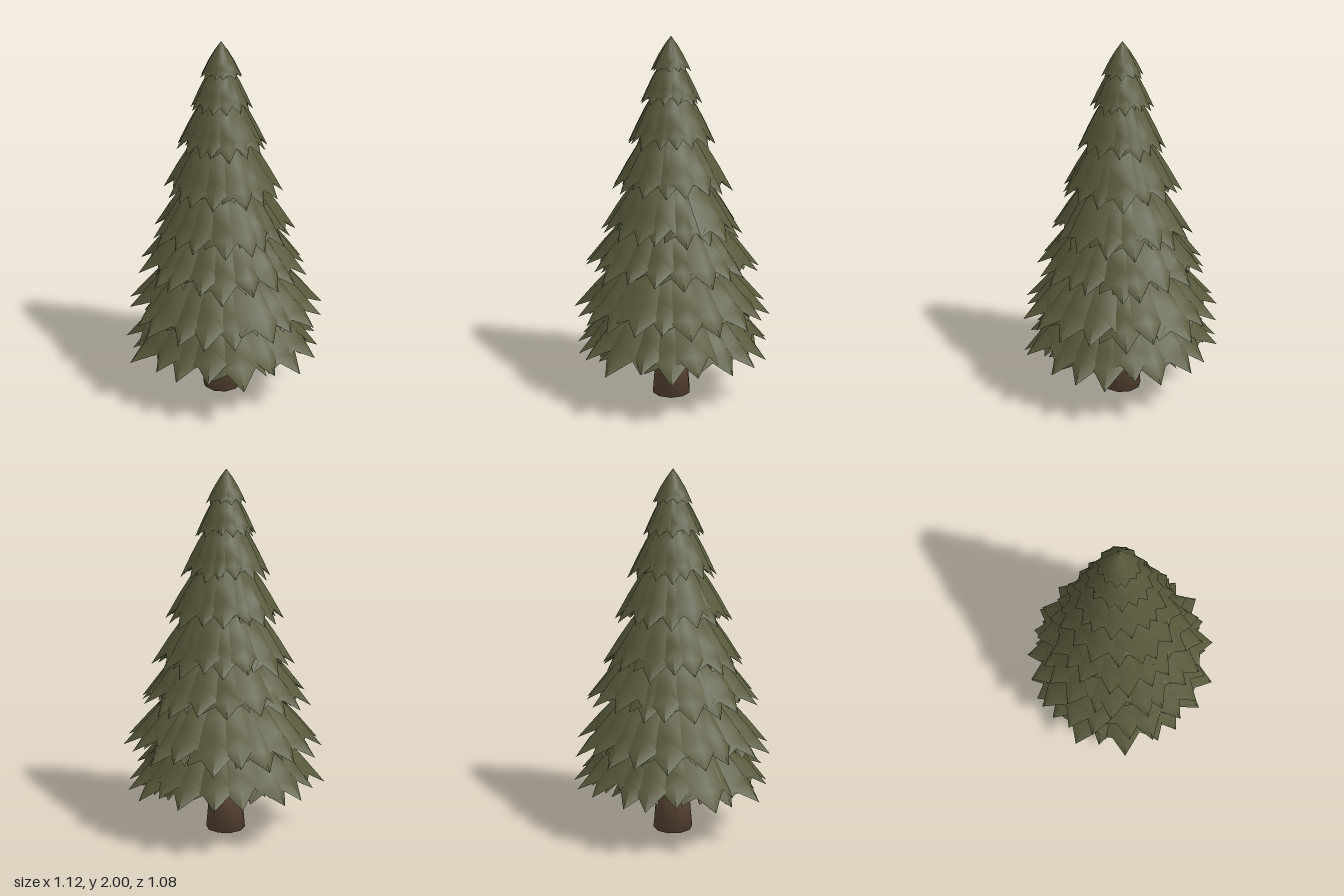
import * as THREE from 'three';

const needles = new THREE.MeshStandardMaterial({ color: 0x57573a, side: THREE.DoubleSide });
needles.name = 'olive needles';
const bark = new THREE.MeshStandardMaterial({ color: 0x5b4634 });
bark.name = 'brown bark';

// small seeded generator, range -1..1
let seed = 11;
const jitter = () => {
  seed = (seed * 16807) % 2147483647;
  return (seed / 2147483647) * 2 - 1;
};

// tiers from bottom to top: tip height, tip radius, apex height, boughs per ring
const tiers = [
  [0.275, 0.55, 0.80, 10],
  [0.495, 0.545, 1.00, 10],
  [0.74, 0.475, 1.23, 10],
  [0.945, 0.39, 1.44, 9],
  [1.19, 0.325, 1.65, 8],
  [1.43, 0.24, 1.83, 8],
  [1.65, 0.168, 1.94, 7],
  [1.82, 0.11, 2.00, 6],
];

// bough outline: [centre position, edge position, relative half width]
const outline = [
  [0, 0, 1],
  [0.3, 0.3, 1],
  [0.6, 0.62, 1.02],
  [0.77, 0.91, 0.88],
  [0.86, 0.85, 0.56],
  [1, 1, 0],
];

// one drooping bough, folded along its middle, with a three-toothed end and an underside
function boughGeometry(tipY, radius, apexY, halfAngle, fold) {
  const h = apexY - tipY;
  const profile = new THREE.CatmullRomCurve3([
    new THREE.Vector3(0.002, apexY, 0),
    new THREE.Vector3(radius * 0.34, tipY + h * 0.74, 0),
    new THREE.Vector3(radius * 0.66, tipY + h * 0.42, 0),
    new THREE.Vector3(radius, tipY, 0),
  ]);
  const pos = [], index = [];
  const put = (u, angle, drop) => {
    const p = profile.getPoint(u);
    const r = p.x * (1 - drop * 0.8);
    pos.push(Math.sin(angle) * r, p.y - drop * p.x, Math.cos(angle) * r);
  };
  outline.forEach(([uc, ue, w], i) => {
    put(ue, -halfAngle * w, fold * w);
    put(uc, 0, 0);
    put(ue, halfAngle * w, fold * w);
    if (!i) return;
    const b = i * 3, a = b - 3;
    index.push(a, b, b + 1, a, b + 1, a + 1);
    index.push(a + 1, b + 1, b + 2, a + 1, b + 2, a + 2);
  });

  // underside: rim points joined to a raised collar near the trunk
  const rim = [9, 12, 16, 14, 11];
  const start = pos.length / 3;
  rim.forEach((k) => pos.push(pos[k * 3], pos[k * 3 + 1], pos[k * 3 + 2]));
  const collar = radius * 0.14;
  for (const s of [-1, 0, 1]) {
    const a = s * halfAngle;
    pos.push(Math.sin(a) * collar, tipY + h * 0.42, Math.cos(a) * collar);
  }
  const [l, ln, tip, rn, r, cl, cm, cr] = [0, 1, 2, 3, 4, 5, 6, 7].map((k) => start + k);
  index.push(cl, cm, l, l, cm, ln, ln, cm, tip, tip, cm, rn, rn, cm, r, r, cm, cr);

  const g = new THREE.BufferGeometry();
  g.setAttribute('position', new THREE.Float32BufferAttribute(pos, 3));
  g.setIndex(index);
  g.computeVertexNormals();
  return g;
}

export function createModel() {
  const tree = new THREE.Group();
  tree.name = 'pineTree';

  // tapered trunk, smooth down to the foot
  const trunkProfile = [[0, 0], [0.11, 0], [0.095, 0.18], [0.08, 0.4], [0.04, 1.0], [0.005, 1.7]]
    .map(([r, y]) => new THREE.Vector2(r, y));
  const trunk = new THREE.Mesh(new THREE.LatheGeometry(trunkProfile, 10), bark);
  trunk.name = 'trunk';
  trunk.position.x = -0.012;
  tree.add(trunk);

  // stacked skirts of boughs, an under ring and an over ring in each
  tiers.forEach(([tipY, radius, apexY, count], t) => {
    const tier = new THREE.Group();
    tier.name = `boughTier${t + 1}`;
    tier.position.x = -0.015 * t / (tiers.length - 1);
    const step = (Math.PI * 2) / count;
    const size = radius / 0.55;
    for (let ring = 0; ring < 2; ring++) {
      for (let i = 0; i < count; i++) {
        const len = 1 + jitter() * 0.04 - ring * 0.02;
        const y = tipY + (jitter() * 0.025 + ring * 0.015) * size;
        const g = boughGeometry(y, radius * len, apexY, step * 0.56, 0.1 + jitter() * 0.03);
        const bough = new THREE.Mesh(g, needles);
        bough.name = ring ? 'upperBough' : 'lowerBough';
        bough.rotation.y = (i + ring * 0.5 + t * 0.37 + jitter() * 0.12) * step;
        tier.add(bough);
      }
    }
    tree.add(tier);
  });
  return tree;
}
